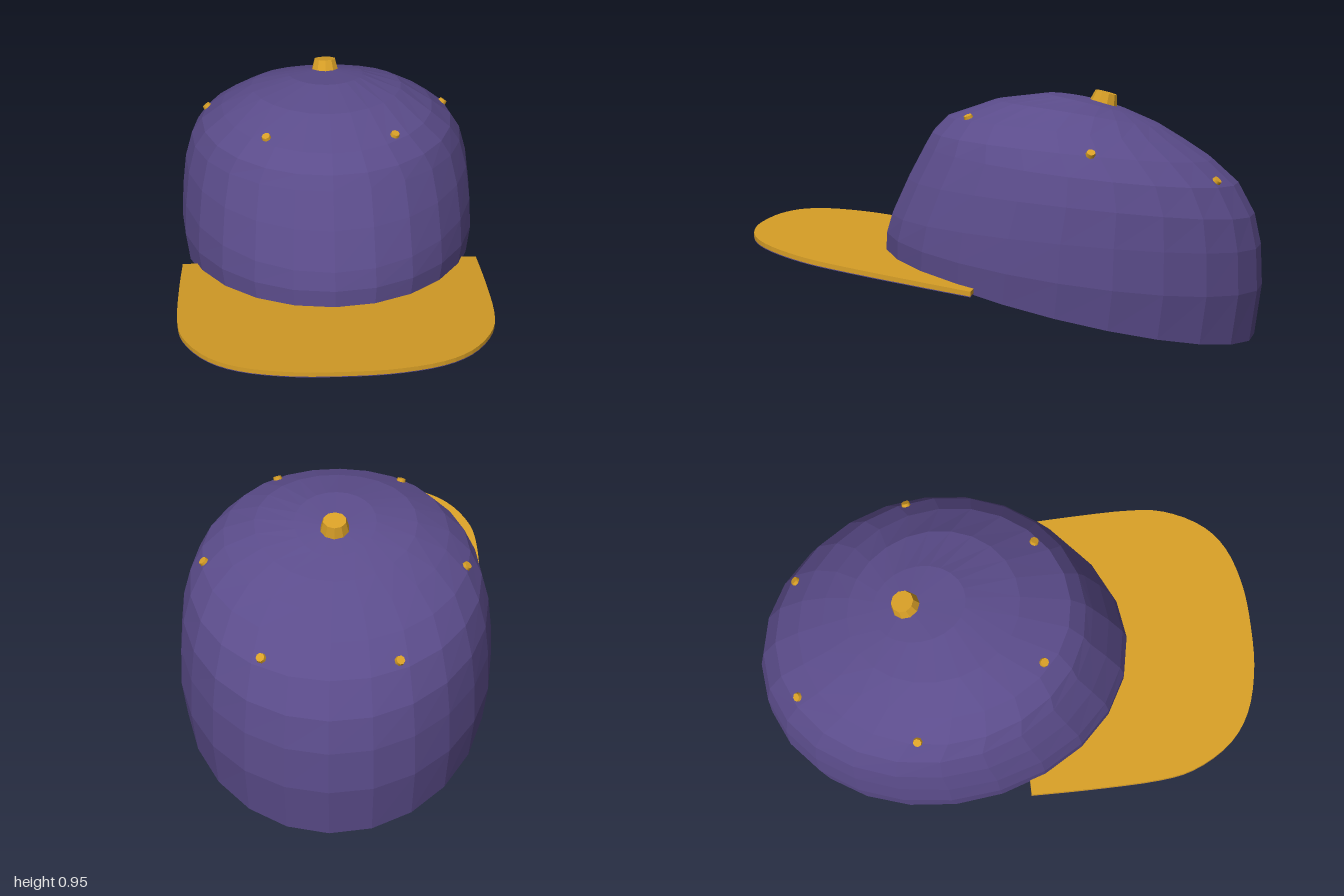
import * as THREE from 'three';

const purple = new THREE.MeshStandardMaterial({ color: 0x5b4c8b });
purple.name = 'purple fabric';
const gold = new THREE.MeshStandardMaterial({ color: 0xd9a027 });
gold.name = 'gold fabric';

// Tilted oval rings: [front z, front y, back z, back y, half width, side y]
const outer = [
  [0.49, 0.33, -0.975, 0.0, 0.585, 0.168],
  [0.487, 0.4, -1.0, 0.2, 0.6, 0.3],
  [0.465, 0.47, -0.992, 0.36, 0.592, 0.44],
  [0.4, 0.61, -0.965, 0.48, 0.575, 0.57],
  [0.33, 0.74, -0.9, 0.6, 0.545, 0.675],
  [0.3, 0.79, -0.8, 0.69, 0.5, 0.755],
  [0.24, 0.85, -0.7, 0.755, 0.42, 0.825],
  [0.05, 0.915, -0.6, 0.815, 0.3, 0.885],
  [-0.15, 0.94, -0.5, 0.86, 0.15, 0.91],
  [-0.37, 0.91, -0.37, 0.91, 0, 0.91],
];
const inner = [
  [-0.3, 0.84, -0.3, 0.84, 0, 0.84],
  [0.2, 0.7, -0.72, 0.58, 0.4, 0.65],
  [0.33, 0.46, -0.85, 0.26, 0.47, 0.36],
  [0.47, 0.33, -0.955, 0.0, 0.565, 0.168],
];

// Point on a ring; angle 0 is the front, a quarter turn is the left side
function ringPoint([zf, yf, zb, yb, w, ym], a) {
  const c = Math.cos(a);
  return new THREE.Vector3(
    w * Math.sin(a),
    ym + ((yf - yb) / 2) * c + ((yf + yb) / 2 - ym) * c * c,
    (zf + zb) / 2 + ((zf - zb) / 2) * c
  );
}

// Faceted skin through a list of rings
function loft(rings, segments) {
  const pos = [];
  const at = (i, j) => ringPoint(rings[i], ((j % segments) / segments) * Math.PI * 2);
  for (let i = 0; i < rings.length - 1; i++) {
    for (let j = 0; j < segments; j++) {
      const a = at(i, j), b = at(i, j + 1), c = at(i + 1, j + 1), d = at(i + 1, j);
      if (rings[i][4] > 0) pos.push(...a, ...b, ...c);
      if (rings[i + 1][4] > 0) pos.push(...a, ...c, ...d);
      else if (rings[i][4] === 0) continue;
    }
  }
  const geo = new THREE.BufferGeometry();
  geo.setAttribute('position', new THREE.Float32BufferAttribute(pos, 3));
  geo.computeVertexNormals();
  return geo;
}

// Point on the outer skin between rings
function skin(t, a) {
  const i = Math.floor(t);
  return ringPoint(outer[i], a).lerp(ringPoint(outer[i + 1], a), t - i);
}

// Flat visor plate, sloping up towards the front
function visorPlate(top, thickness) {
  const side = [[0.59, 0.06], [0.592, 0.3], [0.585, 0.56], [0.555, 0.71], [0.47, 0.85], [0.35, 0.935], [0.18, 0.98]];
  const edge = [...side, [0, 0.99], ...side.map(([x, z]) => [-x, z]).reverse()];
  const curve = new THREE.SplineCurve(edge.map(([x, z]) => new THREE.Vector2(x, z)));
  const points = curve.getPoints(48);
  for (let k = -9; k <= 9; k++) {
    const a = (k / 9) * 1.14;
    points.push(new THREE.Vector2(0.575 * Math.sin(a), -0.245 + 0.725 * Math.cos(a)));
  }
  const geo = new THREE.ExtrudeGeometry(new THREE.Shape(points), { depth: thickness, bevelEnabled: false });
  geo.rotateX(Math.PI / 2);
  const p = geo.attributes.position;
  for (let i = 0; i < p.count; i++) p.setY(i, p.getY(i) + top + (p.getZ(i) - 0.06) * 0.17);
  geo.computeVertexNormals();
  return geo;
}

export function createModel() {
  const group = new THREE.Group();
  const add = (name, geo, mat) => {
    const mesh = new THREE.Mesh(geo, mat);
    mesh.name = name;
    group.add(mesh);
    return mesh;
  };

  // Crown: lining, rim and outside in one skin
  add('crown', loft([...inner, ...outer], 24), purple);

  // Visor with a purple underside
  add('visor', visorPlate(0.26, 0.018), gold);
  add('visorUnderside', visorPlate(0.242, 0.003), purple);

  // Button on top
  const button = add('button', new THREE.CylinderGeometry(0.043, 0.055, 0.045, 10).toNonIndexed(), gold);
  button.geometry.computeVertexNormals();
  button.position.set(0, 0.922, -0.378);
  button.rotation.x = -0.25;

  // Six eyelets, standing on the skin
  const up = new THREE.Vector3(0, 1, 0);
  for (const [t, deg] of [[6.15, 37], [5.1, 102], [4.25, 153.5]]) {
    for (const s of [1, -1]) {
      const a = (s * deg * Math.PI) / 180;
      const p = skin(t, a);
      const along = skin(t, a + 0.05).sub(p);
      const normal = along.cross(skin(t + 0.05, a).sub(p)).normalize();
      const eyelet = add('eyelet', new THREE.CylinderGeometry(0.016, 0.02, 0.02, 8), gold);
      eyelet.position.copy(p);
      eyelet.quaternion.setFromUnitVectors(up, normal);
    }
  }
  return group;
}
